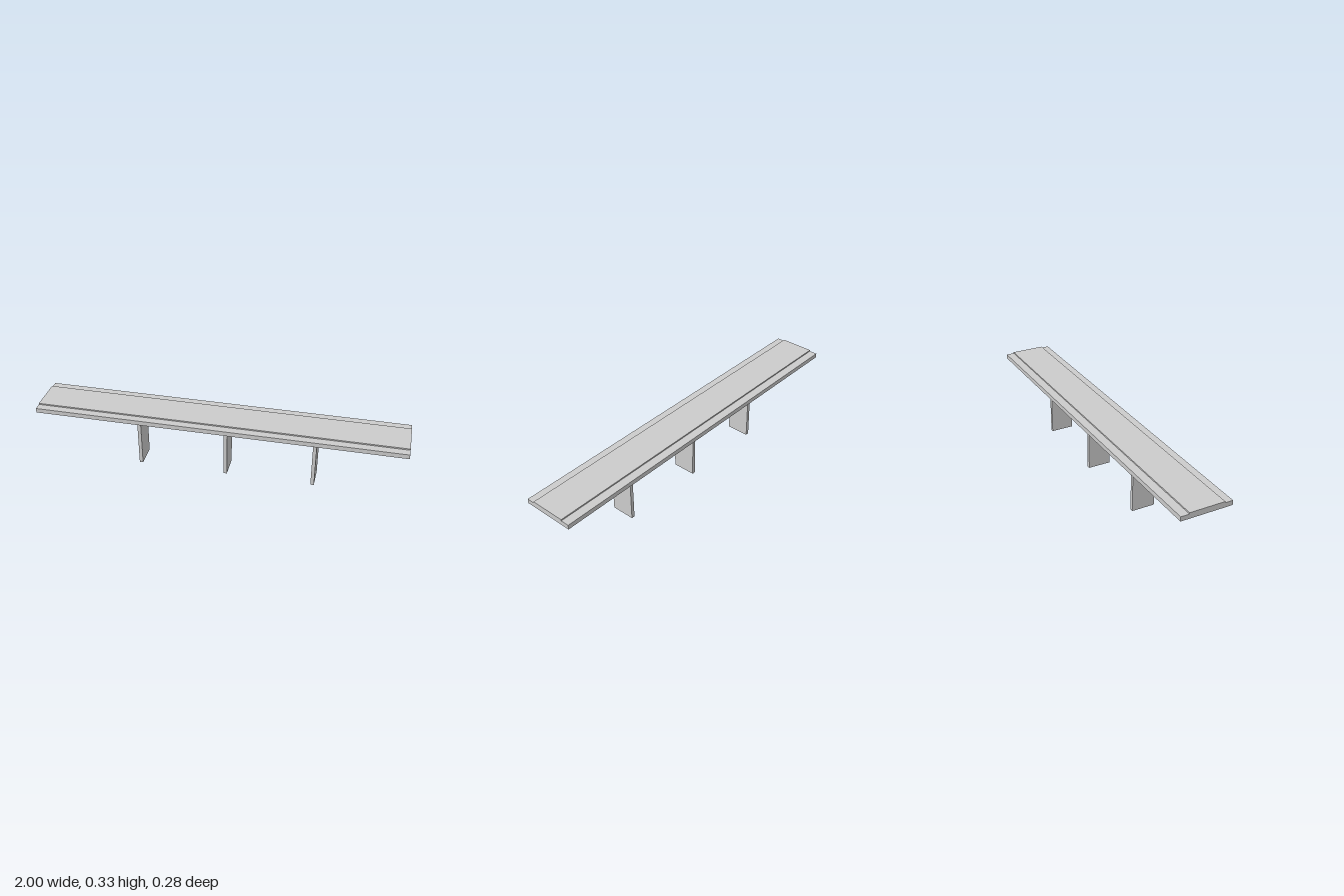
import * as THREE from 'three';

export function createModel() {
  const group = new THREE.Group();
  const material = new THREE.MeshStandardMaterial({ color: 0xcccccc, flatShading: true });

  // Deck: one stepped cross-section (z, y) swept along x, with a raised roadway between low side ledges
  const profile = [
    [-0.139, 0.299], [0.14, 0.299], [0.14, 0.324], [0.097, 0.324],
    [0.097, 0.331], [-0.093, 0.331], [-0.093, 0.324], [-0.139, 0.324],
  ];
  const section = new THREE.Shape(profile.map(([z, y]) => new THREE.Vector2(-z, y)));
  const deckGeometry = new THREE.ExtrudeGeometry(section, { depth: 2, bevelEnabled: false });
  deckGeometry.translate(0, 0, -1).rotateY(Math.PI / 2);
  const deck = new THREE.Mesh(deckGeometry, material);
  deck.name = 'deck';
  group.add(deck);

  // Piers: three evenly spaced thin slabs standing across the deck
  const pierHeight = 0.3;
  const pierGeometry = new THREE.BoxGeometry(0.019, pierHeight, 0.128);
  [-0.443, 0.037, 0.517].forEach((x, i) => {
    const pier = new THREE.Mesh(pierGeometry, material);
    pier.name = `pier${i + 1}`;
    pier.position.set(x, pierHeight / 2, 0.001);
    group.add(pier);
  });

  return group;
}
